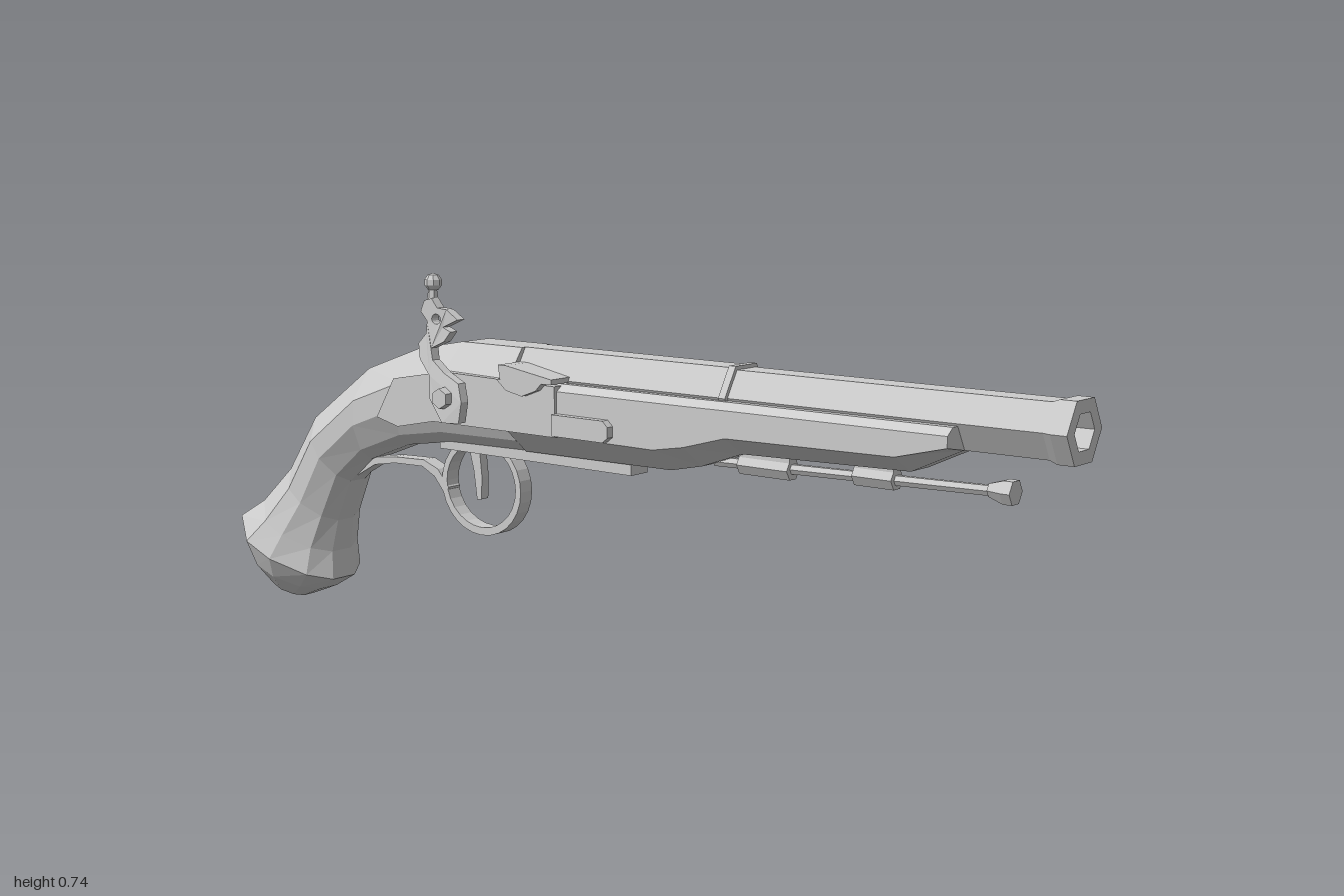
import * as THREE from 'three';

const CZ = -0.015; // the pistol's middle plane
const mat = new THREE.MeshStandardMaterial({ color: 0xcccccc, flatShading: true, side: THREE.DoubleSide });

function add(group, name, geo, x = 0, y = 0, z = 0) {
  const m = new THREE.Mesh(geo, mat);
  m.name = name;
  m.position.set(x, y, z);
  group.add(m);
  return m;
}

// Skin a list of rings, each an array of [x, y, z]
function loft(rings) {
  const n = rings[0].length, idx = [];
  for (let i = 0; i < rings.length - 1; i++) {
    for (let j = 0; j < n; j++) {
      const a = i * n + j, b = i * n + (j + 1) % n;
      idx.push(a, b, b + n, a, b + n, a + n);
    }
  }
  const e = (rings.length - 1) * n;
  for (let j = 1; j < n - 1; j++) idx.push(0, j + 1, j, e, e + j, e + j + 1);
  const g = new THREE.BufferGeometry();
  g.setAttribute('position', new THREE.Float32BufferAttribute(rings.flat(2), 3));
  g.setIndex(idx);
  g.computeVertexNormals();
  return g;
}

// Ring from half a profile [width, height fraction] listed top to bottom
function ring(profile, xt, yt, xb, yb, w) {
  const half = profile.map(([s, t]) => [xt + (xb - xt) * t, yt + (yb - yt) * t, s * w]);
  return [...half.map(([x, y, z]) => [x, y, CZ + z]), ...half.reverse().map(([x, y, z]) => [x, y, CZ - z])];
}

function plate(points, depth, holes = []) {
  const s = new THREE.Shape(points.map(p => new THREE.Vector2(...p)));
  s.holes.push(...holes);
  return new THREE.ExtrudeGeometry(s, { depth, bevelEnabled: false, curveSegments: 8 });
}

// Rod or frustum lying along x
function rod(r0, r1, len, sides = 6) {
  return new THREE.CylinderGeometry(r1, r0, len, sides).rotateZ(-Math.PI / 2);
}

export function createModel() {
  const g = new THREE.Group();
  g.name = 'flintlockPistol';

  // Grip and butt: top x, y, bottom x, y, half width
  const round = [[0.45, 0], [1, 0.33], [1, 0.6], [0.68, 0.88], [0.27, 1]];
  add(g, 'grip', loft([
    [-0.93, 0.04, -0.845, 0.004, 0.05],
    [-0.97, 0.10, -0.78, 0.03, 0.092],
    [-1.0, 0.17, -0.73, 0.06, 0.117],
    [-0.93, 0.212, -0.735, 0.12, 0.102],
    [-0.85, 0.29, -0.72, 0.19, 0.084],
    [-0.77, 0.41, -0.68, 0.28, 0.078],
    [-0.6, 0.53, -0.615, 0.335, 0.08],
    [-0.45, 0.583, -0.5, 0.378, 0.085],
    [-0.33, 0.605, -0.38, 0.396, 0.087],
    [-0.17, 0.605, -0.17, 0.4, 0.088],
  ].map(s => ring(round, ...s))));

  // Fore-end: x, lower side edge, bottom
  add(g, 'foreEnd', loft([
    [-0.17, 0.45, 0.4], [0.19, 0.448, 0.403], [0.26, 0.46, 0.418],
    [0.35, 0.485, 0.45], [0.7, 0.49, 0.458], [0.8, 0.515, 0.505],
  ].map(([x, e, b]) => {
    const half = [[0.8, 0.548], [1, 0.535], [1, e], [0.35, b]];
    const w = x < 0.3 ? 0.088 : 0.085;
    return [...half.map(([s, y]) => [x, y, CZ + s * w]), ...half.reverse().map(([s, y]) => [x, y, CZ - s * w])];
  })));

  // Six-sided barrel with bore, muzzle lip and band
  const barrel = [[0, -0.17], [0.061, -0.17], [0.06, 0.32], [0.064, 0.32], [0.064, 0.335], [0.056, 0.335],
    [0.055, 0.955], [0.061, 0.97], [0.061, 1], [0.035, 1], [0.035, 0.8], [0, 0.8]];
  add(g, 'barrel', new THREE.LatheGeometry(barrel.map(p => new THREE.Vector2(...p)), 6).rotateZ(-Math.PI / 2), 0, 0.5525, CZ);

  // Side plates with a forward tongue, one on each side
  const platePts = [[-0.52, 0.442], [-0.46, 0.428], [-0.36, 0.448], [-0.04, 0.448], [-0.04, 0.545], [-0.33, 0.55], [-0.47, 0.525]];
  const tonguePts = [[-0.04, 0.452], [0.085, 0.452], [0.097, 0.462], [0.097, 0.482], [0.085, 0.493], [-0.04, 0.493]];
  for (const [side, s] of [['left', 1], ['right', -1]]) {
    const place = (pts, d) => plate(pts, d).translate(0, 0, s > 0 ? CZ + 0.07 : CZ - 0.07 - d);
    add(g, side + 'LockPlate', place(platePts, 0.025));
    add(g, side + 'PlateTongue', place(tonguePts, 0.034));
  }

  // Priming pan and its cover
  add(g, 'panCover', plate([[-0.17, 0.578], [-0.165, 0.55], [-0.035, 0.55], [-0.035, 0.56], [-0.15, 0.578]], 0.07), 0, 0, 0.025);
  add(g, 'pan', plate([[-0.175, 0.55], [-0.15, 0.53], [-0.11, 0.522], [-0.075, 0.535], [-0.06, 0.55]], 0.03), 0, 0, 0.065);

  // Cock: a flat outline leaning inward with height
  const eye = new THREE.Path();
  eye.absellipse(-0.333, 0.655, 0.012, 0.01, 0, Math.PI * 2, true);
  const cock = plate([[-0.3, 0.455], [-0.255, 0.458], [-0.247, 0.5], [-0.26, 0.535], [-0.3, 0.552], [-0.335, 0.575],
    [-0.342, 0.598], [-0.31, 0.612], [-0.295, 0.632], [-0.315, 0.64], [-0.275, 0.657], [-0.305, 0.675],
    [-0.33, 0.677], [-0.345, 0.695], [-0.365, 0.69], [-0.375, 0.668], [-0.358, 0.65], [-0.36, 0.625],
    [-0.378, 0.605], [-0.37, 0.575], [-0.34, 0.545], [-0.332, 0.5]], 0.02, [eye]);
  const p = cock.attributes.position;
  for (let i = 0; i < p.count; i++) {
    const t = THREE.MathUtils.clamp((p.getY(i) - 0.5) / 0.13, 0, 1);
    p.setZ(i, p.getZ(i) + 0.097 - 0.022 * t);
  }
  cock.computeVertexNormals();
  add(g, 'cock', cock);
  add(g, 'cockScrew', new THREE.CylinderGeometry(0.02, 0.024, 0.05, 6).rotateX(Math.PI / 2), -0.293, 0.505, 0.106);
  add(g, 'cockPost', new THREE.CylinderGeometry(0.007, 0.013, 0.045, 6), -0.356, 0.703, 0.08);
  add(g, 'cockKnob', new THREE.SphereGeometry(0.018, 8, 5), -0.356, 0.725, 0.078);

  // Trigger guard: strap, oval bow and tail
  add(g, 'guardStrap', new THREE.BoxGeometry(0.5, 0.022, 0.05), -0.16, 0.391, CZ);
  const bow = new THREE.Shape().absellipse(-0.305, 0.312, 0.108, 0.1, 0, Math.PI * 2);
  const gap = new THREE.Path().absellipse(-0.305, 0.314, 0.094, 0.086, 0, Math.PI * 2, true);
  bow.holes.push(gap);
  add(g, 'guardBow', new THREE.ExtrudeGeometry(bow, { depth: 0.034, bevelEnabled: false, curveSegments: 14 }), 0, 0, CZ - 0.017);
  add(g, 'guardTail', plate([[-0.67, 0.29], [-0.61, 0.323], [-0.55, 0.333], [-0.47, 0.335], [-0.435, 0.318], [-0.402, 0.28],
    [-0.395, 0.3], [-0.425, 0.334], [-0.465, 0.349], [-0.55, 0.346], [-0.62, 0.338], [-0.67, 0.305]], 0.034), 0, 0, CZ - 0.017);
  add(g, 'trigger', plate([[-0.345, 0.395], [-0.33, 0.34], [-0.322, 0.282], [-0.31, 0.284], [-0.308, 0.33], [-0.315, 0.395]], 0.02), 0, 0, CZ - 0.01);

  // Ramrod and the two pipes that hold it
  const ram = add(g, 'ramrod', rod(0.01, 0.01, 0.6), 0.57, 0.432, CZ);
  ram.rotation.z = 0.022;
  add(g, 'ramrodTip', rod(0.013, 0.023, 0.03), 0.85, 0.439, CZ);
  add(g, 'ramrodCap', rod(0.023, 0.023, 0.018), 0.873, 0.439, CZ);
  for (const [x, y, len] of [[0.385, 0.427, 0.11], [0.615, 0.435, 0.08]]) {
    add(g, 'ramrodPipe', rod(0.02, 0.02, len), x, y, CZ);
    add(g, 'pipeMount', new THREE.BoxGeometry(len, 0.035, 0.024), x, 0.448, CZ);
  }
  return g;
}
